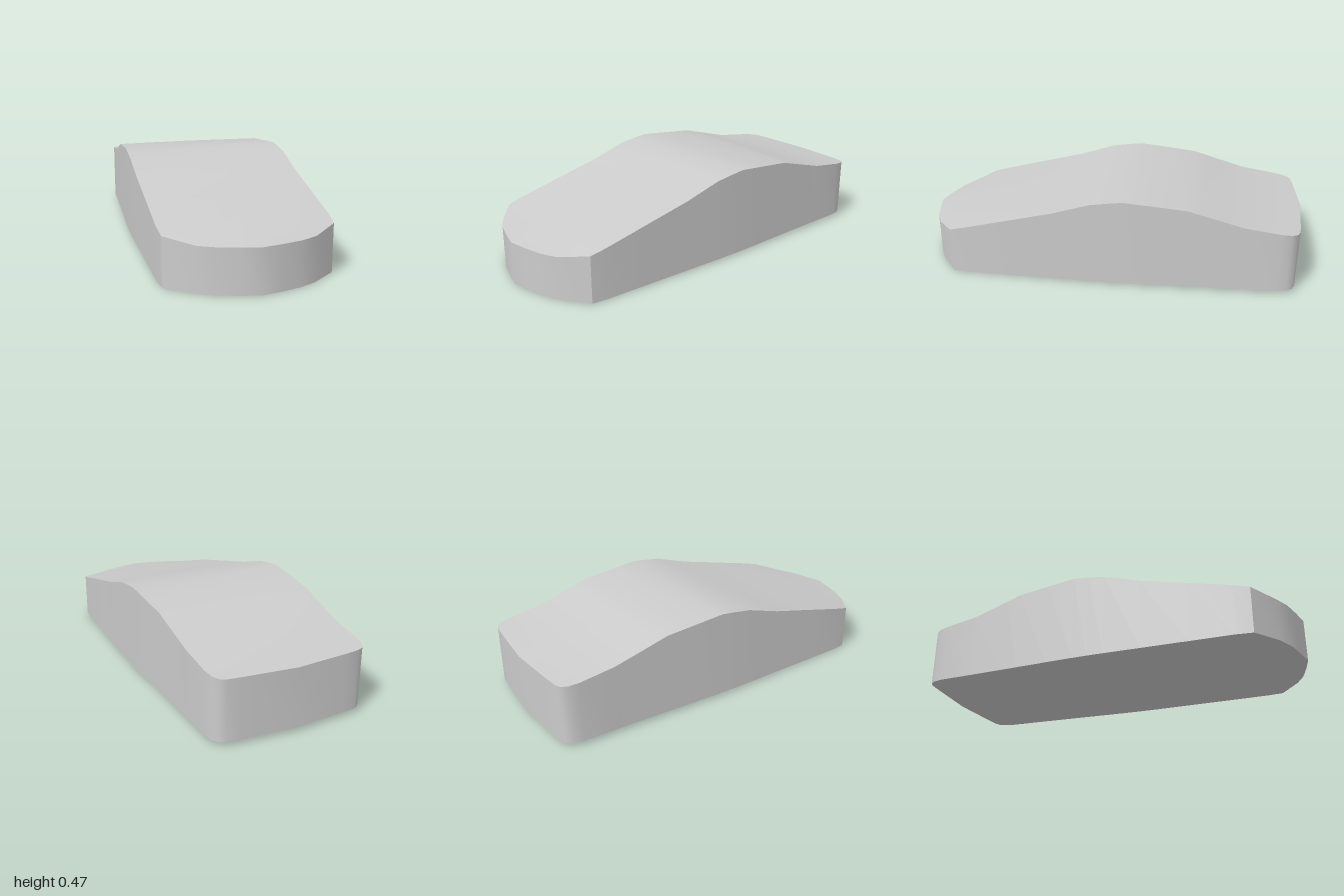
import * as THREE from 'three';
import { toCreasedNormals } from 'three/addons/utils/BufferGeometryUtils.js';

// Cross-sections from nose to tail: z, half width, roof height at centre, roof height at edge
const SECTIONS = [
  [1.0, 0, 0.22, 0.22],
  [0.978, 0.1, 0.225, 0.22],
  [0.95, 0.2, 0.232, 0.22],
  [0.91, 0.28, 0.241, 0.221],
  [0.81, 0.407, 0.264, 0.243],
  [0.73, 0.416, 0.282, 0.264],
  [0.5, 0.42, 0.333, 0.322],
  [0.26, 0.424, 0.386, 0.382],
  [0.07, 0.428, 0.444, 0.443],
  [-0.02, 0.428, 0.457, 0.457],
  [-0.1, 0.427, 0.467, 0.467],
  [-0.25, 0.422, 0.455, 0.454],
  [-0.42, 0.415, 0.441, 0.438],
  [-0.5, 0.412, 0.422, 0.415],
  [-0.7, 0.405, 0.367, 0.36],
  [-0.88, 0.4, 0.339, 0.335],
  [-0.93, 0.39, 0.332, 0.329],
  [-0.96, 0.37, 0.327, 0.326],
  [-0.973, 0.34, 0.325, 0.325],
  [-0.98, 0.27, 0.324, 0.324],
  [-1.0, 0, 0.321, 0.321],
];

// Skin closed five-point rings, skipping triangles that collapse at the tips
function loft(sections) {
  const rings = sections.map(([z, w, centre, edge]) => {
    const floor = 0.01 - 0.01 * z;
    return [[-w, floor], [-w, edge], [0, centre], [w, edge], [w, floor]]
      .map(([x, y]) => new THREE.Vector3(x, y, z));
  });
  const positions = [];
  const addTriangle = (a, b, c) => {
    if (new THREE.Triangle(a, b, c).getArea() < 1e-7) return;
    for (const p of [a, b, c]) positions.push(p.x, p.y, p.z);
  };
  for (let i = 0; i < rings.length - 1; i++) {
    for (let j = 0; j < 5; j++) {
      const k = (j + 1) % 5;
      const a = rings[i][j], b = rings[i][k], c = rings[i + 1][k], d = rings[i + 1][j];
      addTriangle(a, b, c);
      addTriangle(a, c, d);
    }
  }
  const geometry = new THREE.BufferGeometry();
  geometry.setAttribute('position', new THREE.Float32BufferAttribute(positions, 3));
  return toCreasedNormals(geometry, 0.6);
}

export function createModel() {
  const group = new THREE.Group();
  group.name = 'carShell';
  const body = new THREE.Mesh(loft(SECTIONS), new THREE.MeshStandardMaterial({ color: 0xcccccc }));
  body.name = 'body';
  group.add(body);
  return group;
}
